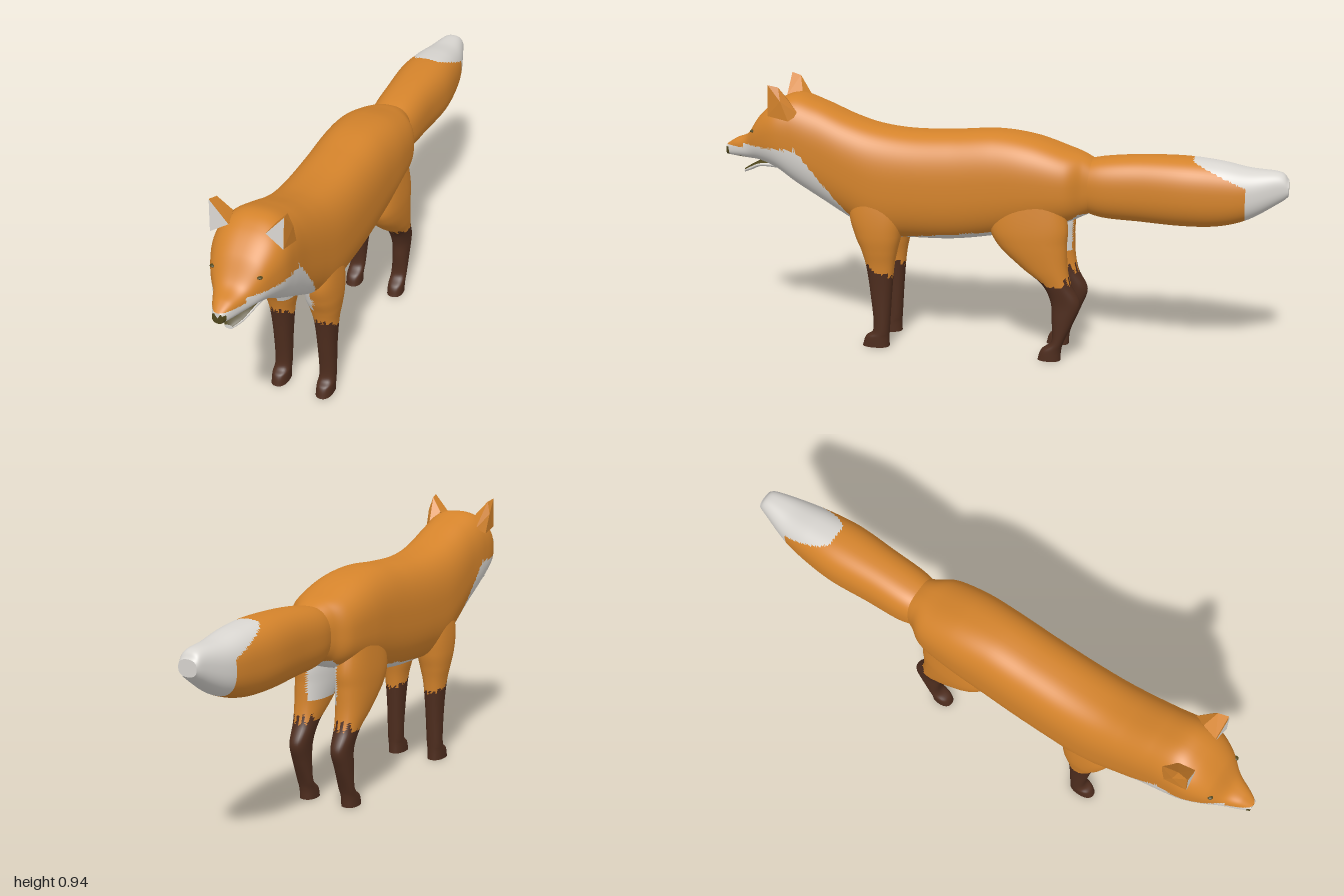
import * as THREE from 'three';
import { ConvexGeometry } from 'three/addons/geometries/ConvexGeometry.js';

const mat = (name, color) => Object.assign(new THREE.MeshStandardMaterial({ color }), { name });
const V = (x, y, z) => new THREE.Vector3(x, y, z);
const clamp = THREE.MathUtils.clamp;
const ORANGE = 0, WHITE = 1, BROWN = 2, DARK = 3;

// Smooth loft through rows [t, aMin, aMax, bMin, bMax]; paint() picks a colour per face.
function loft(name, rows, place, paint, mats, { steps = 80, sides = 32, power = 0.85 } = {}) {
  const ca = new THREE.CatmullRomCurve3(rows.map(r => V(r[0], r[1], r[2])), false, 'catmullrom', 0.5);
  const cb = new THREE.CatmullRomCurve3(rows.map(r => V(r[0], r[3], r[4])), false, 'catmullrom', 0.5);
  const bend = v => Math.sign(v) * Math.abs(v) ** power;
  const point = (u, ang) => {
    const a = ca.getPoint(u), b = cb.getPoint(u);
    return place((a.y + a.z) / 2 + (a.z - a.y) / 2 * bend(Math.cos(ang)),
      (b.y + b.z) / 2 + (b.z - b.y) / 2 * bend(Math.sin(ang)), a.x);
  };
  const pts = [], faces = [[], [], [], []];
  const angle = j => j / sides * Math.PI * 2;
  for (let i = 0; i <= steps; i++)
    for (let j = 0; j < sides; j++) pts.push(point(i / steps, angle(j)));
  const face = (a, b, c, s) => {
    const mid = pts[a].clone().add(pts[b]).add(pts[c]).divideScalar(3);
    faces[paint(mid, s)].push(a, b, c);
  };
  for (let i = 0; i < steps; i++)
    for (let j = 0; j < sides; j++) {
      const k = (j + 1) % sides, p = i * sides, q = p + sides, s = Math.sin(angle(j + 0.5));
      face(p + j, p + k, q + k, s);
      face(p + j, q + k, q + j, s);
    }
  // end caps with their own corners, so the rims stay crisp
  for (const [row, flip] of [[0, true], [steps, false]]) {
    const base = pts.length, ring = pts.slice(row * sides, (row + 1) * sides);
    const hub = ring.reduce((m, p) => m.add(p), V(0, 0, 0)).divideScalar(sides);
    pts.push(...ring, hub);
    for (let j = 0; j < sides; j++) {
      const a = base + j, b = base + (j + 1) % sides;
      face(flip ? b : a, flip ? a : b, base + sides, 0);
    }
  }
  const geo = new THREE.BufferGeometry().setFromPoints(pts);
  geo.setIndex(faces.flat());
  let start = 0;
  faces.forEach((f, m) => { if (f.length) geo.addGroup(start, f.length, m); start += f.length; });
  geo.computeVertexNormals();
  const mesh = new THREE.Mesh(geo, mats);
  mesh.name = name;
  mesh.userData.point = point;
  return mesh;
}

const alongZ = (a, b, t) => V(a, b, t);
const alongY = (a, b, t) => V(a, t, b);
const sym = rows => rows.map(([z, w, lo, hi]) => [z, -w, w, lo, hi]);

export function createModel() {
  const mats = [mat('orangeFur', 0xd4832b), mat('whiteFur', 0xd8d5d0),
    mat('brownSocks', 0x4e2d1e), mat('darkNose', 0x4f461c)];
  const fox = new THREE.Group();
  fox.name = 'fox';

  // body, neck and head: [z, half width, bottom, top]
  const bodyRows = sym([
    [-0.36, 0.07, 0.54, 0.70], [-0.31, 0.09, 0.515, 0.728], [-0.25, 0.125, 0.49, 0.748],
    [-0.13, 0.138, 0.46, 0.785], [0, 0.138, 0.428, 0.80], [0.15, 0.138, 0.405, 0.79],
    [0.3, 0.138, 0.40, 0.785], [0.42, 0.137, 0.40, 0.797], [0.52, 0.132, 0.455, 0.825],
    [0.63, 0.127, 0.52, 0.87], [0.72, 0.128, 0.575, 0.897], [0.79, 0.124, 0.625, 0.875],
    [0.855, 0.098, 0.65, 0.822], [0.91, 0.062, 0.655, 0.748], [0.965, 0.036, 0.658, 0.722],
    [1.0, 0.018, 0.662, 0.70]]);
  const bodyPaint = p => {
    const x = Math.abs(p.x);
    if (p.z > 0.988 && p.y < 0.692) return DARK;
    if (p.z > 0.86 && p.z < 0.95 && p.y < 0.664 && x < 0.035) return DARK;
    if (p.z > 0.92) return p.y < 0.70 ? WHITE : ORANGE;
    if (p.z > 0.7) return p.y < 0.717 ? WHITE : ORANGE;
    if (p.z > 0.4) return p.y < 0.717 - (0.7 - p.z) * 1.27 ? WHITE : ORANGE;
    if (p.z > -0.04) return p.y < 0.412 + (0.32 - p.z) * 0.14 && x < 0.11 ? WHITE : ORANGE;
    return p.y < 0.53 && x < 0.07 ? WHITE : ORANGE;
  };
  const body = loft('body', bodyRows, alongZ, bodyPaint, mats, { steps: 210, sides: 80, power: 0.78 });
  fox.add(body);

  // open lower jaw, dark inside
  const jawRows = sym([[0.79, 0.06, 0.625, 0.66], [0.86, 0.053, 0.628, 0.65],
    [0.905, 0.037, 0.61, 0.63], [0.935, 0.014, 0.598, 0.612]]);
  fox.add(loft('lowerJaw', jawRows, alongZ, (p, s) => s > 0.3 ? DARK : WHITE, mats, { steps: 24 }));

  // bushy tail with a white tip
  const tailRows = sym([[-1.0, 0.034, 0.62, 0.675], [-0.97, 0.045, 0.596, 0.702],
    [-0.87, 0.077, 0.535, 0.71], [-0.77, 0.094, 0.506, 0.728], [-0.65, 0.104, 0.50, 0.738],
    [-0.5, 0.096, 0.506, 0.735], [-0.37, 0.09, 0.513, 0.722], [-0.28, 0.07, 0.54, 0.70]]);
  const tailPaint = p => p.z < -0.86 + 0.18 * clamp((p.y - 0.655) / 0.078, 0, 1) ? WHITE : ORANGE;
  fox.add(loft('tail', tailRows, alongZ, tailPaint, mats, { steps: 120, sides: 64, power: 0.82 }));

  // legs, from the top down: [y, inner x, outer x, back z, front z]
  const frontRows = [[0.62, 0.05, 0.12, 0.36, 0.48], [0.5, 0.03, 0.136, 0.33, 0.515],
    [0.42, 0.02, 0.139, 0.334, 0.50], [0.36, 0.03, 0.132, 0.348, 0.476],
    [0.3, 0.042, 0.122, 0.36, 0.46], [0.2, 0.05, 0.115, 0.37, 0.447],
    [0.07, 0.055, 0.113, 0.38, 0.438], [0.035, 0.055, 0.114, 0.382, 0.468],
    [0, 0.055, 0.114, 0.382, 0.48]];
  const hindRows = [[0.66, 0.04, 0.12, -0.22, -0.06], [0.5, 0.022, 0.138, -0.262, 0.005],
    [0.42, 0.022, 0.14, -0.262, -0.015], [0.34, 0.032, 0.133, -0.265, -0.10],
    [0.28, 0.042, 0.123, -0.278, -0.175], [0.215, 0.05, 0.115, -0.31, -0.207],
    [0.15, 0.055, 0.114, -0.29, -0.212], [0.07, 0.055, 0.113, -0.256, -0.212],
    [0.035, 0.055, 0.114, -0.246, -0.175], [0, 0.055, 0.114, -0.244, -0.163]];
  const frontPaint = p => {
    const x = Math.abs(p.x);
    if (p.y < 0.29 + (p.z - 0.41) * 0.5 + 0.01 * Math.sin(x * 400)) return BROWN;
    return x < 0.07 && p.y > 0.37 && p.z > 0.38 ? WHITE : ORANGE;
  };
  const hindPaint = p => {
    const x = Math.abs(p.x);
    if (p.y < 0.295 + 0.02 * Math.sin(x * 300)) return BROWN;
    return x < 0.06 && p.y > 0.36 && p.z < -0.12 ? WHITE : ORANGE;
  };

  for (const side of [1, -1]) {
    const label = side > 0 ? 'left' : 'right';
    const mirror = rows => side > 0 ? rows : rows.map(([y, i, o, b, f]) => [y, -o, -i, b, f]);
    fox.add(loft(label + 'FrontLeg', mirror(frontRows), alongY, frontPaint, mats));
    fox.add(loft(label + 'HindLeg', mirror(hindRows), alongY, hindPaint, mats));

    // ear shell with a pale inner face
    const P = (x, y, z) => V(side * x, y, z);
    const low = P(0.123, 0.835, 0.797), inner = P(0.062, 0.872, 0.79), tip = P(0.125, 0.945, 0.79);
    const ear = new THREE.Mesh(new ConvexGeometry([low, inner, tip, P(0.118, 0.937, 0.755),
      P(0.131, 0.89, 0.745), P(0.128, 0.82, 0.72), P(0.075, 0.885, 0.735), P(0.10, 0.84, 0.69)]), mats[ORANGE]);
    ear.name = label + 'Ear';
    const corners = (side > 0 ? [low, tip, inner] : [low, inner, tip]).map(p => p.clone().add(V(0, 0, 0.003)));
    const innerGeo = new THREE.BufferGeometry().setFromPoints(corners);
    innerGeo.computeVertexNormals();
    const innerEar = new THREE.Mesh(innerGeo, mats[WHITE]);
    innerEar.name = label + 'InnerEar';

    // small eye set into the face
    const eye = new THREE.Mesh(new THREE.SphereGeometry(0.009, 12, 8), mats[DARK]);
    eye.name = label + 'Eye';
    eye.scale.set(1, 0.5, 1);
    eye.position.copy(body.userData.point(12.3 / 15, side > 0 ? 0.5 : Math.PI - 0.5));
    fox.add(ear, innerEar, eye);
  }
  return fox;
}
